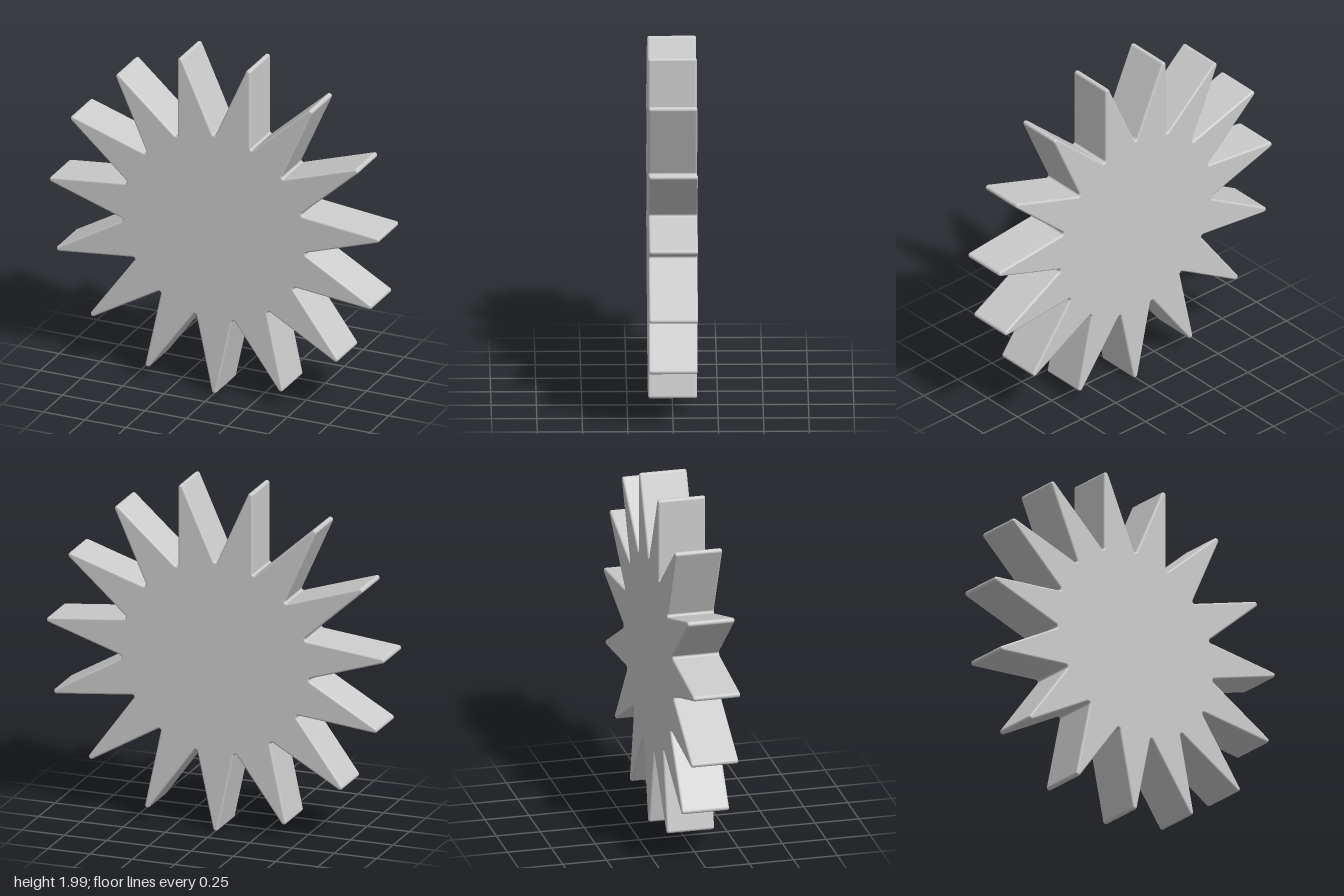
import * as THREE from 'three';

const POINTS = 15, CENTRE_Y = 1.005, HALF_DEPTH = 0.135, BEVEL = 0.012;
const TIP_CENTRE = 0.99, TIP_R = 0.015, VALLEY_R = 0.011;
const ARC_STEPS = 8, BEVEL_STEPS = 5;
const rad = THREE.MathUtils.degToRad;
const polar = (r, deg) => new THREE.Vector2(r * Math.cos(rad(deg)), r * Math.sin(rad(deg)));

// Outline as points with outward normals: a rounded tip, then a filleted valley, repeated
function starOutline() {
  const step = 360 / POINTS, half = step / 2;       // each spike's half angle equals half a step
  const sharpTip = TIP_CENTRE + TIP_R / Math.sin(rad(half));
  const sharpValley = sharpTip / (2 * Math.cos(rad(half)));
  const valleyCentre = sharpValley + VALLEY_R / Math.sin(rad(step));
  const outline = [];
  const arc = (centre, radius, from, to) => {
    for (let i = 0; i <= ARC_STEPS; i++) {
      const n = polar(1, from + (to - from) * i / ARC_STEPS);
      outline.push({ p: centre.clone().addScaledVector(n, radius), n });
    }
  };
  for (let k = 0; k < POINTS; k++) {
    const a = -90 + k * step, sweep = 90 - half, v = a + half;
    arc(polar(TIP_CENTRE, a), TIP_R, a - sweep, a + sweep);
    arc(polar(valleyCentre, v), -VALLEY_R, v + 90 - step, v - 90 + step);
  }
  return outline;
}

// Slab with rounded rims: rings of the outline from back to front, closed by flat caps
function roundedSlab(outline) {
  const count = outline.length, position = [], normal = [], index = [];
  const angles = [];
  for (const end of [-1, 1]) {
    for (let i = 0; i <= BEVEL_STEPS; i++) {
      const t = i / BEVEL_STEPS;
      angles.push({ end, phi: (end < 0 ? t - 1 : t) * Math.PI / 2 });
    }
  }
  for (const { end, phi } of angles) {
    const c = Math.cos(phi), s = Math.sin(phi);
    for (const { p, n } of outline) {
      const inset = BEVEL * (1 - c);
      position.push(p.x - n.x * inset, p.y - n.y * inset, end * (HALF_DEPTH - BEVEL) + BEVEL * s);
      normal.push(n.x * c, n.y * c, s);
    }
  }
  for (let r = 0; r < angles.length - 1; r++) {
    for (let i = 0; i < count; i++) {
      const a = r * count + i, b = r * count + (i + 1) % count;
      index.push(a, b, b + count, a, b + count, a + count);
    }
  }
  const capPoints = outline.map(({ p, n }) => p.clone().addScaledVector(n, -BEVEL));
  const front = (angles.length - 1) * count;
  for (const [a, b, c] of THREE.ShapeUtils.triangulateShape(capPoints, [])) {
    index.push(front + a, front + b, front + c, a, c, b);
  }
  const geometry = new THREE.BufferGeometry();
  geometry.setAttribute('position', new THREE.Float32BufferAttribute(position, 3));
  geometry.setAttribute('normal', new THREE.Float32BufferAttribute(normal, 3));
  geometry.setIndex(index);
  return geometry;
}

export function createModel() {
  const group = new THREE.Group();
  group.name = 'starburst';
  const body = new THREE.Mesh(
    roundedSlab(starOutline()),
    new THREE.MeshStandardMaterial({ color: 0xcccccc })
  );
  body.name = 'starBody';
  body.position.y = CENTRE_Y;
  group.add(body);
  return group;
}
